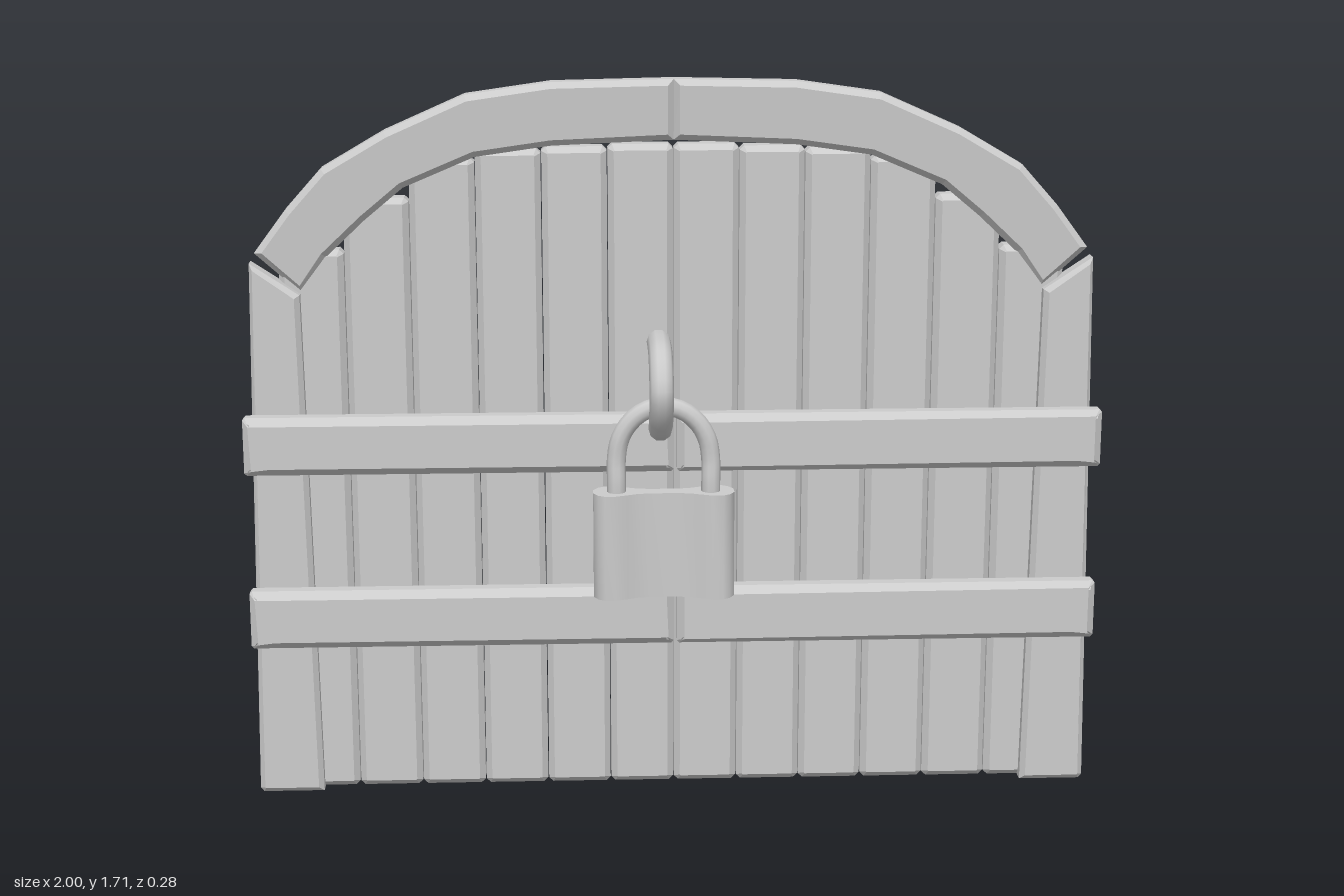
import * as THREE from 'three';
import { toCreasedNormals } from 'three/addons/utils/BufferGeometryUtils.js';

const wood = new THREE.MeshStandardMaterial({ color: 0xcccccc, flatShading: true });
const metal = new THREE.MeshStandardMaterial({ color: 0xcccccc });

// Flat board with chamfered edges: outline in x/y, spanning z0..z1
function board(points, z0, z1, bevel) {
  const shape = new THREE.Shape(points.map(([x, y]) => new THREE.Vector2(x, y)));
  const geo = new THREE.ExtrudeGeometry(shape, {
    depth: z1 - z0 - 2 * bevel, steps: 1, bevelEnabled: true,
    bevelThickness: bevel, bevelSize: bevel, bevelOffset: -bevel, bevelSegments: 1,
  });
  return geo.translate(0, 0, z0 + bevel);
}

// Rectangle outline with clipped corners
const rect = (x0, x1, y0, y1, c) => [
  [x0 + c, y0], [x1 - c, y0], [x1, y0 + c], [x1, y1 - c],
  [x1 - c, y1], [x0 + c, y1], [x0, y1 - c], [x0, y0 + c],
];

export function createModel() {
  const model = new THREE.Group();
  const add = (name, geo, mat = wood) => {
    const mesh = new THREE.Mesh(geo, mat);
    mesh.name = name;
    model.add(mesh);
    return mesh;
  };

  // Vertical planks, stepped down towards the sides
  const pitch = 0.152;
  const tops = [1.56, 1.555, 1.55, 1.53, 1.44, 1.32];
  const outer = [[0, 1.711], [0.28, 1.705], [0.475, 1.677], [0.66, 1.595], [0.805, 1.51], [0.89, 1.415], [0.965, 1.315]];
  const inner = [[0.86, 1.22], [0.8, 1.305], [0.71, 1.39], [0.62, 1.465], [0.455, 1.535], [0.28, 1.56], [0, 1.572]];

  for (const s of [-1, 1]) {
    const side = s > 0 ? 'left' : 'right';
    const mirror = (pts) => pts.map(([x, y]) => [s * x, y]);

    tops.forEach((top, i) => {
      const pts = rect(i * pitch + 0.001, (i + 1) * pitch - 0.001, 0.005, top, 0.01);
      add(`${side}Plank${i + 1}`, board(mirror(pts), -0.142, -0.075, 0.014));
    });

    // Side stile with mitred top
    add(`${side}Stile`, board(mirror([
      [0.845, 0.005], [0.99, 0.005], [0.998, 0.015], [0.975, 1.295], [0.862, 1.22],
    ]), -0.105, -0.042, 0.012));

    // Half of the arched head, leaning slightly forward
    const arch = board(mirror([...outer, ...inner]), -0.113, -0.043, 0.014);
    const p = arch.attributes.position;
    for (let i = 0; i < p.count; i++) p.setZ(i, p.getZ(i) + 0.05 * (p.getY(i) - 1.711));
    arch.computeVertexNormals();
    add(`${side}Arch`, arch);

    // Horizontal battens, split at the middle
    for (const [name, y0, y1] of [['Lower', 0.39, 0.53], ['Upper', 0.81, 0.947]]) {
      add(`${side}${name}Batten`, board(mirror(rect(0.003, 0.997, y0, y1, 0.006)), -0.035, 0.03, 0.018));
    }
  }

  // Hook that holds the padlock
  const v = (x, y, z) => new THREE.Vector3(x, y, z);
  const hookPath = new THREE.CatmullRomCurve3([
    v(-0.035, 1.1, -0.09), v(-0.035, 1.1, -0.02), v(-0.035, 1.09, 0.045), v(-0.035, 1.062, 0.085),
    v(-0.035, 1.015, 0.108), v(-0.035, 0.967, 0.09), v(-0.035, 0.927, 0.05), v(-0.035, 0.912, 0.02),
  ]);
  const hookMetal = metal.clone();
  hookMetal.side = THREE.DoubleSide;
  add('hook', new THREE.TubeGeometry(hookPath, 18, 0.028, 10), hookMetal);

  // Padlock body: waisted cross-section extruded upwards
  const padlock = new THREE.Group();
  padlock.name = 'padlock';
  padlock.position.set(-0.029, 0, 0.06);
  model.add(padlock);
  const quarter = [[0.163, 0.015], [0.152, 0.035], [0.137, 0.046], [0.112, 0.046], [0.085, 0.035], [0.06, 0.024], [0.03, 0.02]];
  const half = [...quarter, ...[...quarter].reverse().map(([x, z]) => [-x, z])];
  const section = [...half, ...[...half].reverse().map(([x, z]) => [x, -z])];
  const bodyGeo = new THREE.ExtrudeGeometry(
    new THREE.Shape(section.map(([x, z]) => new THREE.Vector2(x, z))),
    { depth: 0.25, bevelEnabled: false },
  ).rotateX(-Math.PI / 2).translate(0, 0.525, 0);
  const body = new THREE.Mesh(toCreasedNormals(bodyGeo, 0.9), metal);
  body.name = 'padlockBody';
  padlock.add(body);

  // Shackle: two legs joined by a rounded top
  const legs = [v(-0.109, 0.74, 0), v(-0.109, 0.8, 0)];
  for (let i = 0; i <= 8; i++) {
    const a = Math.PI * (1 - i / 8);
    legs.push(v(0.109 * Math.cos(a), 0.85 + 0.125 * Math.sin(a), -0.005));
  }
  legs.push(v(0.109, 0.8, 0), v(0.109, 0.74, 0));
  const shackle = new THREE.Mesh(new THREE.TubeGeometry(new THREE.CatmullRomCurve3(legs), 32, 0.022, 10), metal);
  shackle.name = 'shackle';
  padlock.add(shackle);

  return model;
}
